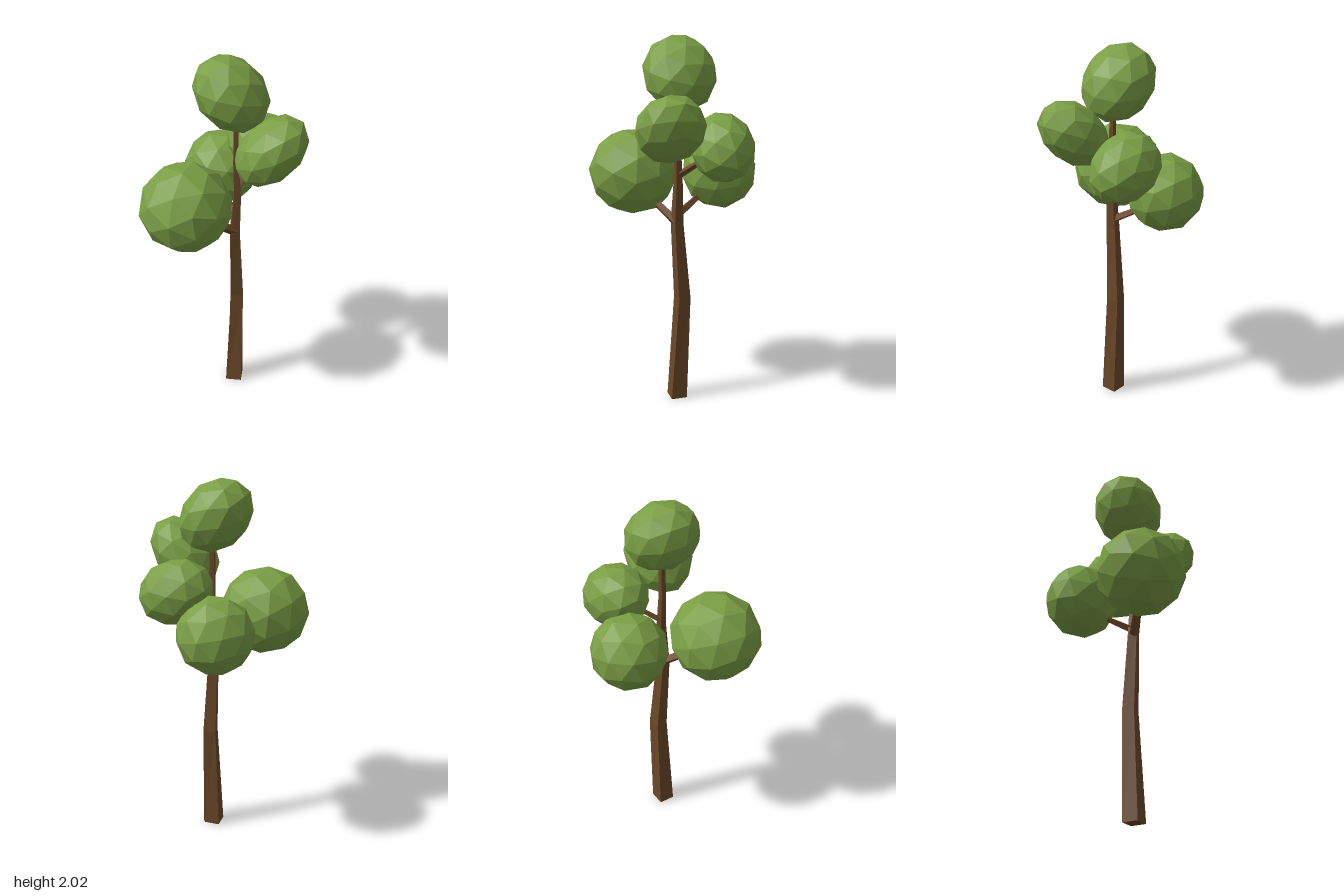
import * as THREE from 'three';

const bark = new THREE.MeshStandardMaterial({ color: 0x6b4828, flatShading: true });
const leaf = new THREE.MeshStandardMaterial({ color: 0x7a9e45, flatShading: true });

// Trunk rings from base to tip: x, y, z, half width, twist
const rings = [
  [0.045, 0, 0.017, 0.044, 0.05],
  [0.053, 0.6, -0.01, 0.034, 0.2],
  [0.044, 1.03, 0.017, 0.025, 0.26],
  [0.057, 1.26, 0.014, 0.018, 0.2],
  [0.048, 1.45, 0.015, 0.014, 0.15],
  [0.047, 1.75, 0.01, 0.011, 0.1],
];

// Four-sided trunk: each ring of a square cylinder is moved to its section
function makeTrunk() {
  const n = rings.length - 1;
  const geo = new THREE.CylinderGeometry(Math.SQRT2, Math.SQRT2, 1, 4, n, false, Math.PI / 4);
  const pos = geo.attributes.position;
  const v = new THREE.Vector3();
  const up = new THREE.Vector3(0, 1, 0);
  for (let i = 0; i < pos.count; i++) {
    v.fromBufferAttribute(pos, i);
    const [x, y, z, half, twist] = rings[Math.round((v.y + 0.5) * n)];
    v.setY(0).multiplyScalar(half).applyAxisAngle(up, twist);
    pos.setXYZ(i, v.x + x, y, v.z + z);
  }
  geo.computeVertexNormals();
  const mesh = new THREE.Mesh(geo, bark);
  mesh.name = 'trunk';
  return mesh;
}

// Tapered four-sided limb between two points
function makeBranch(from, to, r0, r1) {
  const a = new THREE.Vector3(...from);
  const dir = new THREE.Vector3(...to).sub(a);
  const geo = new THREE.CylinderGeometry(r1, r0, dir.length(), 4, 1, false, Math.PI / 4);
  const mesh = new THREE.Mesh(geo, bark);
  mesh.position.copy(a).addScaledVector(dir, 0.5);
  mesh.quaternion.setFromUnitVectors(new THREE.Vector3(0, 1, 0), dir.normalize());
  mesh.name = 'branch';
  return mesh;
}

// Faceted leaf clump: an icosphere stretched along a tilted axis
function makeClump(center, radii, tilt, spin) {
  const geo = new THREE.IcosahedronGeometry(1, 1);
  geo.rotateY(spin).rotateX(spin * 0.6);
  geo.scale(...radii).rotateZ(tilt).translate(...center);
  geo.computeVertexNormals();
  const mesh = new THREE.Mesh(geo, leaf);
  mesh.name = 'leafClump';
  return mesh;
}

export function createModel() {
  const tree = new THREE.Group();
  tree.name = 'tree';
  tree.add(makeTrunk());

  const branches = [
    [[0.045, 1.03, 0.02], [-0.12, 1.17, 0.16], 0.027, 0.018],
    [[0.045, 1.07, 0.015], [-0.04, 1.18, -0.17], 0.024, 0.016],
    [[0.055, 1.29, 0.015], [0.13, 1.4, -0.13], 0.02, 0.014],
    [[0.048, 1.47, 0.015], [0.18, 1.55, 0.07], 0.017, 0.012],
  ];
  for (const b of branches) tree.add(makeBranch(...b));

  // Center, radii, tilt, facet spin
  const clumps = [
    [[-0.18, 1.27, 0.205], [0.245, 0.237, 0.245], 0, 0.4],
    [[-0.073, 1.27, -0.25], [0.207, 0.207, 0.205], 0, 1.1],
    [[0.165, 1.455, -0.195], [0.208, 0.172, 0.17], -0.4, 0.7],
    [[0.24, 1.58, 0.1], [0.22, 0.15, 0.183], Math.PI / 4, 0.2],
    [[0.02, 1.825, -0.003], [0.217, 0.172, 0.195], -Math.PI / 4, 0.9],
  ];
  for (const c of clumps) tree.add(makeClump(...c));
  return tree;
}
